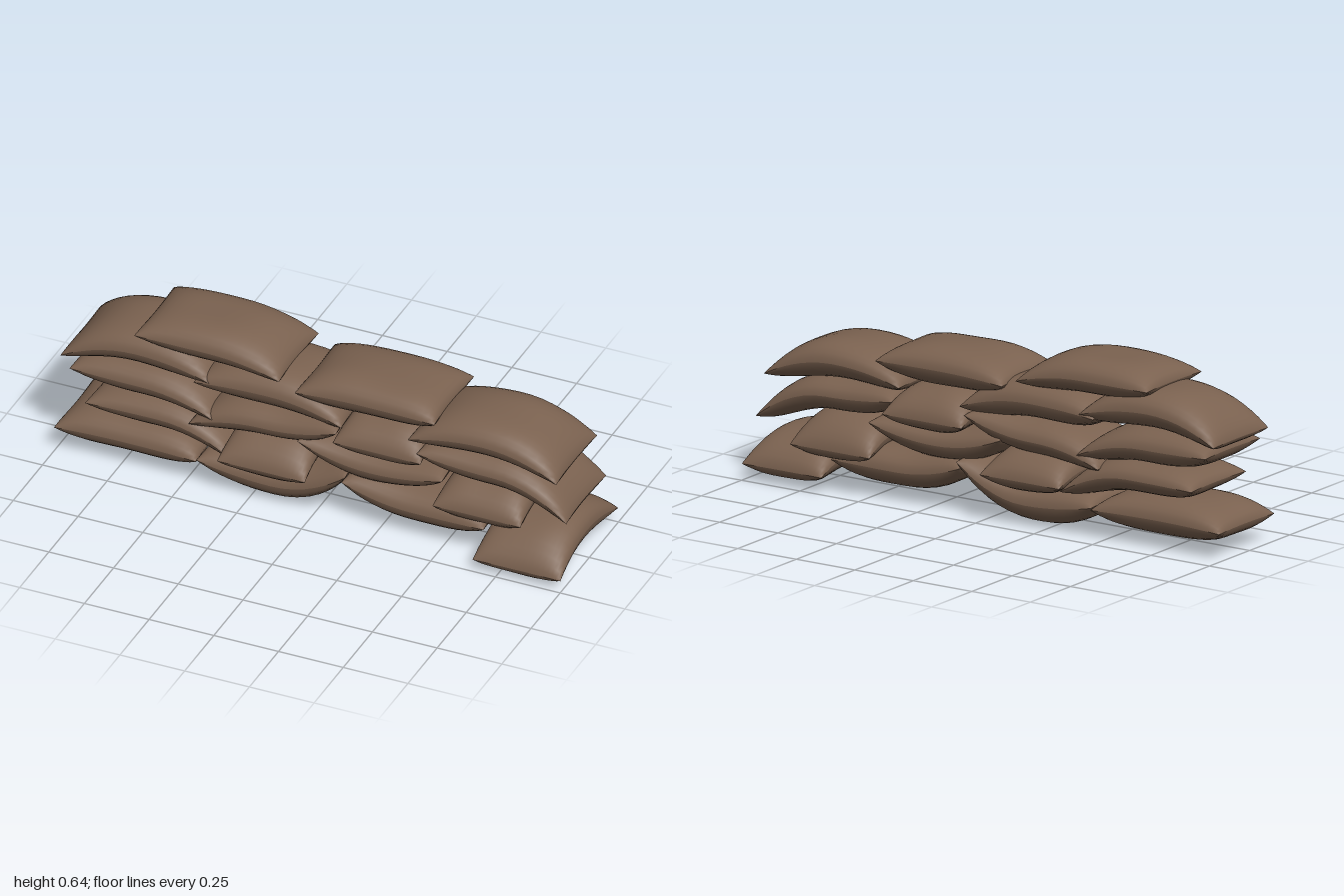
import * as THREE from 'three';

const burlap = new THREE.MeshStandardMaterial({ color: 0x7b6250 });
burlap.name = 'brown burlap';

// Flat in the middle, easing to the start or end height at t = -1 or 1
const bend = ([a, m, b], t) => m + ((t < 0 ? a : b) - m) * t * t;
const swell = t => Math.sqrt(Math.max(0, 1 - Math.pow(Math.abs(t), 3.2)));

// Pillow-shaped bag: two bulging sheets that meet in a sharp seam
function sandbag({ x, z, seam, up, down, across = false }, seed) {
  const NU = 20, NW = 16, pos = [], idx = [];
  const cx = (x[0] + x[1]) / 2, hx = (x[1] - x[0]) / 2;
  const cz = (z[0] + z[1]) / 2, hz = (z[1] - z[0]) / 2;
  for (const side of [1, -1]) {
    const base = pos.length / 3;
    for (let i = 0; i <= NU; i++) {
      for (let j = 0; j <= NW; j++) {
        const u = Math.sin((i / NU - 0.5) * Math.PI);
        const w = Math.sin((j / NW - 0.5) * Math.PI);
        // Edges draw in a little between the four corners
        const px = cx + u * (hx - 0.01 * (1 - w * w));
        const pz = cz + w * (hz - 0.003 * (1 - u * u));
        const lump = 1 + 0.04 * Math.sin(u * 4 + seed * 1.7) * Math.cos(w * 3 + seed);
        const bulge = (side > 0 ? up : down) * swell(u) * swell(w) * lump;
        pos.push(px, bend(seam, across ? w : u) + side * bulge, pz);
      }
    }
    for (let i = 0; i < NU; i++) {
      for (let j = 0; j < NW; j++) {
        const a = base + i * (NW + 1) + j, b = a + 1, c = a + NW + 1, d = c + 1;
        if (side > 0) idx.push(a, b, c, b, d, c);
        else idx.push(a, c, b, b, c, d);
      }
    }
  }
  const g = new THREE.BufferGeometry();
  g.setAttribute('position', new THREE.Float32BufferAttribute(pos, 3));
  g.setIndex(idx);
  g.computeVertexNormals();
  return new THREE.Mesh(g, burlap);
}

export function createModel() {
  const group = new THREE.Group();
  group.name = 'sandbagWall';
  const Z = [-0.19, 0.153];

  // Rows from the ground up; seam heights run left to right, or back to front for bags laid across
  const rows = [
    [
      { x: [-1, -0.45], z: Z, seam: [0.105, 0.113, 0.108], up: 0.075, down: 0.072 },
      { x: [-0.45, 0.125], z: Z, seam: [0.115, 0.08, 0.195], up: 0.075, down: 0.075 },
      { x: [0.11, 0.66], z: Z, seam: [0.172, 0.115, 0.12], up: 0.075, down: 0.073 },
      { x: [0.66, 1], z: [-0.248, 0.248], seam: [0.065, 0.115, 0.052], up: 0.076, down: 0.076, across: true },
    ],
    [
      { x: [-0.88, -0.32], z: Z, seam: [0.24, 0.243, 0.155], up: 0.063, down: 0.064 },
      { x: [-0.35, -0.01], z: [-0.24, 0.198], seam: [0.18, 0.215, 0.165], up: 0.075, down: 0.075, across: true },
      { x: [-0.06, 0.5], z: Z, seam: [0.3, 0.238, 0.28], up: 0.065, down: 0.068 },
      { x: [0.47, 0.81], z: [-0.225, 0.17], seam: [0.16, 0.215, 0.18], up: 0.075, down: 0.075, across: true },
    ],
    [
      { x: [-0.94, -0.39], z: Z, seam: [0.37, 0.362, 0.3], up: 0.068, down: 0.067 },
      { x: [-0.48, 0.09], z: Z, seam: [0.26, 0.315, 0.37], up: 0.07, down: 0.065 },
      { x: [0.08, 0.42], z: [-0.222, 0.16], seam: [0.33, 0.365, 0.335], up: 0.075, down: 0.073, across: true },
      { x: [0.4, 0.98], z: Z, seam: [0.37, 0.345, 0.23], up: 0.065, down: 0.07 },
    ],
    [
      { x: [-0.975, -0.4], z: Z, seam: [0.415, 0.495, 0.45], up: 0.075, down: 0.07 },
      { x: [-0.46, 0.11], z: Z, seam: [0.44, 0.455, 0.4], up: 0.075, down: 0.075 },
      { x: [0.37, 0.945], z: [-0.19, 0.16], seam: [0.425, 0.468, 0.39], up: 0.073, down: 0.07 },
    ],
    [
      { x: [-0.69, -0.13], z: Z, seam: [0.575, 0.573, 0.53], up: 0.073, down: 0.065 },
      { x: [-0.07, 0.47], z: Z, seam: [0.5, 0.513, 0.51], up: 0.073, down: 0.075 },
    ],
  ];

  let seed = 1;
  rows.forEach((bags, r) => {
    const row = new THREE.Group();
    row.name = `row${r + 1}`;
    bags.forEach((bag, i) => {
      const mesh = sandbag(bag, seed++);
      mesh.name = `${bag.across ? 'crosswiseSandbag' : 'sandbag'}${i + 1}`;
      row.add(mesh);
    });
    group.add(row);
  });
  return group;
}
